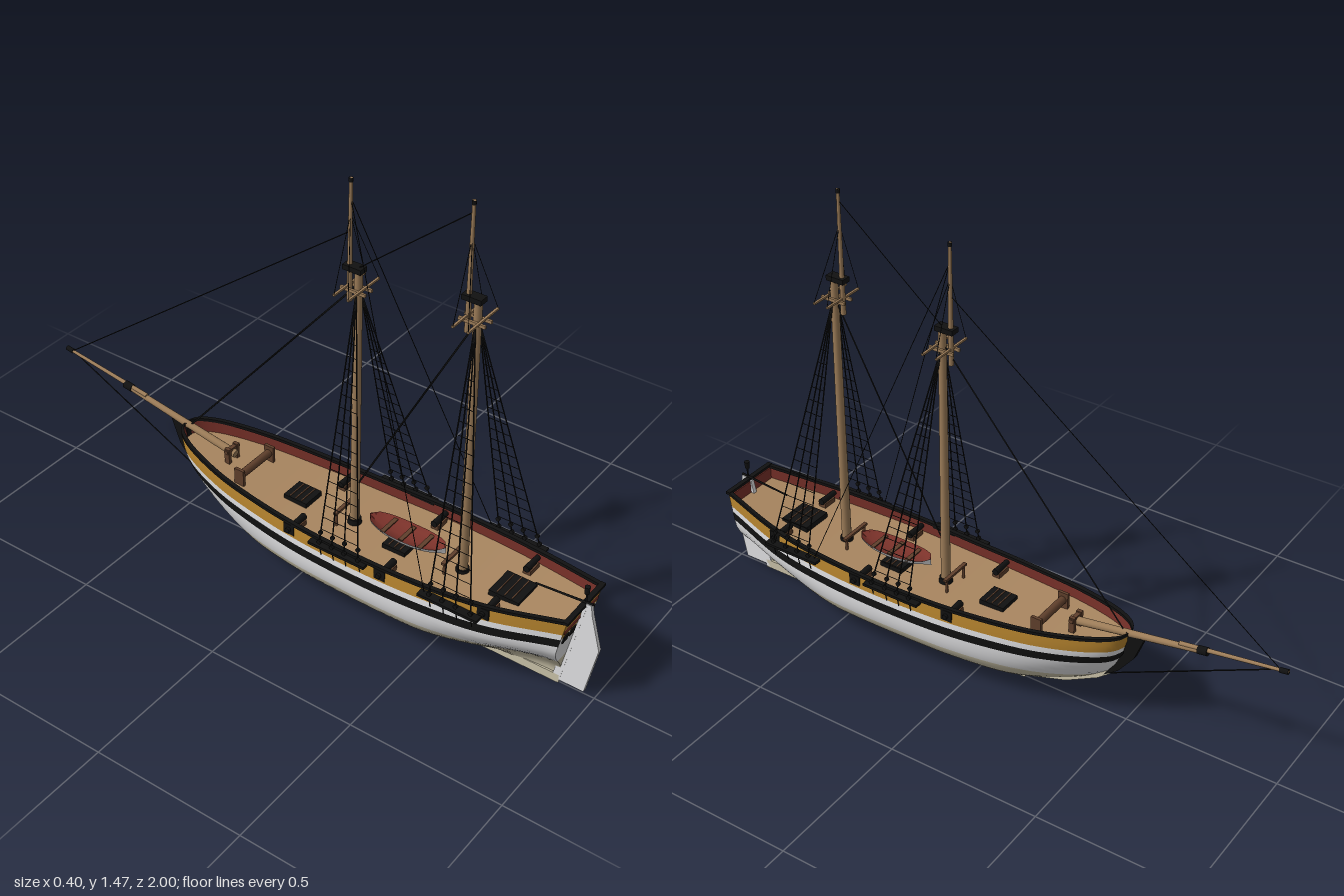
import * as THREE from 'three';
import { toCreasedNormals } from 'three/addons/utils/BufferGeometryUtils.js';

const mat = (name, color) => Object.assign(new THREE.MeshStandardMaterial({ color }), { name });
const white = mat('white paint', 0xe4e4e6), cream = mat('bottom paint', 0xcbc3a9), ochre = mat('ochre paint', 0xb9862f);
const black = mat('black paint', 0x111111), wood = mat('spar wood', 0x9c7c58), plank = mat('deck planks', 0xa98660);
const red = mat('red paint', 0x7b322a), brown = mat('dark wood', 0x60402c);
const V = (x, y, z) => new THREE.Vector3(x, y, z);
const step = THREE.MathUtils.smoothstep, lerp = THREE.MathUtils.lerp;

// Smooth curve through [position, value] pairs in rising order
function curve(p) {
  const slope = i => {
    const a = p[Math.max(i - 1, 0)], b = p[Math.min(i + 1, p.length - 1)];
    return (b[1] - a[1]) / (b[0] - a[0]);
  };
  return t => {
    t = Math.min(Math.max(t, p[0][0]), p[p.length - 1][0]);
    let i = 0;
    while (i < p.length - 2 && t > p[i + 1][0]) i++;
    const h = p[i + 1][0] - p[i][0], s = (t - p[i][0]) / h, s2 = s * s, s3 = s2 * s;
    return (2 * s3 - 3 * s2 + 1) * p[i][1] + (s3 - 2 * s2 + s) * h * slope(i)
      + (3 * s2 - 2 * s3) * p[i + 1][1] + (s3 - s2) * h * slope(i + 1);
  };
}

// Hull lines: sheer height, keel height, half beam, all along z
const sheer = curve([[-0.5, 0.325], [-0.2, 0.298], [0.1, 0.285], [0.4, 0.288], [0.7, 0.3], [0.94, 0.327]]);
const keelY = curve([[-0.5, 0.3], [-0.46, 0.19], [-0.4, 0.13], [-0.29, 0.066], [-0.145, 0.018], [0, 0.015], [0.94, 0.015]]);
const beam = curve([[-0.5, 0], [-0.49, 0.032], [-0.46, 0.062], [-0.4, 0.093], [-0.3, 0.125], [-0.2, 0.146],
  [0, 0.17], [0.2, 0.181], [0.4, 0.184], [0.6, 0.172], [0.75, 0.15], [0.94, 0.104]]);

function halfWidth(z, y) {
  const k = keelY(z), e = Math.min(Math.max((y - k) / (sheer(z) - k), 0), 1);
  const mid = 1 - (1 - e) ** 5, bow = 1 - (1 - e) ** 2.5, stern = step(e, 0.06, 0.65);
  const f = lerp(lerp(mid, bow, 1 - step(z, -0.5, 0.1)), stern, step(z, 0.45, 0.94));
  return Math.max(beam(z), 0) * f * (1 - 0.04 * e ** 4);
}
// Stern rakes aft with height
const hullPoint = (x, y, z) => V(x, y, z + 0.2 * (y - 0.327) * step(z, 0.6, 0.94));

const stations = [];
for (let i = 0; i <= 56; i++) stations.push(0.94 - 1.44 * Math.sin(i / 56 * Math.PI / 2));

// Skin between rings; mats[j] is the colour of strip j
function loft(name, rings, mats, closed = false) {
  const n = rings[0].length, strips = closed ? n : n - 1, index = [], g = new THREE.BufferGeometry();
  const list = [...new Set(mats)];
  for (let j = 0; j < strips; j++) {
    const start = index.length, j2 = (j + 1) % n;
    for (let i = 0; i < rings.length - 1; i++) {
      const a = i * n + j, b = i * n + j2, c = b + n, d = a + n;
      index.push(a, b, c, a, c, d);
    }
    g.addGroup(start, index.length - start, list.indexOf(mats[j % mats.length]));
  }
  g.setFromPoints(rings.flat());
  g.setIndex(index);
  const m = new THREE.Mesh(toCreasedNormals(g, 0.7), list);
  m.name = name;
  return m;
}

export function createModel() {
  const ship = new THREE.Group();
  ship.name = 'schooner';
  const add = (name, g, m, x = 0, y = 0, z = 0, parent = ship) => {
    const o = new THREE.Mesh(g, m);
    o.name = name;
    o.position.set(x, y, z);
    parent.add(o);
    return o;
  };
  const box = (name, w, h, d, m, x, y, z) => add(name, new THREE.BoxGeometry(w, h, d), m, x, y, z);
  const rod = (name, a, b, r1, r2, m, sides = 12) => {
    const o = add(name, new THREE.CylinderGeometry(r2, r1, a.distanceTo(b), sides), m);
    o.position.copy(a).lerp(b, 0.5);
    o.quaternion.setFromUnitVectors(V(0, 1, 0), b.clone().sub(a).normalize());
    return o;
  };
  const rope = (name, a, b, r = 0.0016) => rod(name, a, b, r, r, black, 4);
  // Side profile given as [z, y], extruded across x
  const slab = (name, pts, w, m) => {
    const s = new THREE.Shape(pts.map(p => new THREE.Vector2(...p)));
    const g = new THREE.ExtrudeGeometry(s, { depth: w, bevelEnabled: false });
    add(name, g.rotateY(-Math.PI / 2).translate(w / 2, 0, 0), m);
  };

  // Hull planking with painted bands
  const bands = [[1, ochre], [1, ochre], [1, white], [1, black], [4, white], [10, cream]];
  const side = z => {
    const s = sheer(z), k = keelY(z), levels = [s, s - 0.022, s - 0.047, s - 0.067, s - 0.096, 0.13, k], ys = [s];
    bands.forEach(([n], b) => {
      for (let q = 1; q <= n; q++) ys.push(Math.max(k, lerp(levels[b], levels[b + 1], q / n)));
    });
    return ys.map(y => hullPoint(halfWidth(z, y), y, z));
  };
  const mirrored = pts => pts.map(p => V(-p.x, p.y, p.z)).reverse();
  const half = bands.flatMap(([n, m]) => Array(n).fill(m));
  ship.add(loft('hull', stations.map(z => { const s = side(z); return [...s, ...mirrored(s).slice(1)]; }), [...half, ...half.slice().reverse()]));

  // Transom, windows and stern rail
  const last = side(0.94);
  ship.add(loft('transom', [mirrored(last).reverse(), last], half.map((m, i) => i < 3 ? ochre : m === cream ? cream : white)));
  for (const x of [-0.073, -0.034, 0.034, 0.073]) {
    const w = box('sternWindow', 0.026, 0.028, 0.006, black, x, 0.247, 0.925);
    w.rotation.x = 0.2;
  }
  box('sternBulwark', 0.19, 0.045, 0.006, red, 0, 0.3, 0.93);
  box('sternRail', 0.212, 0.009, 0.016, black, 0, 0.328, 0.938);

  // Deck with inner bulwarks
  ship.add(loft('deckAndBulwarks', stations.map(z => {
    const s = sheer(z), d = s - 0.045, w = Math.max(halfWidth(z, s) - 0.006, 0), wd = Math.max(halfWidth(z, d) - 0.006, 0);
    return [hullPoint(-w, s, z), hullPoint(-wd, d, z), hullPoint(wd, d, z), hullPoint(w, s, z)];
  }), [red, plank, red]));

  // Cap rail on both sides
  const railRing = z => {
    const s = sheer(z), w = halfWidth(z, s), o = w + 0.004, n = Math.max(w - 0.01, 0);
    return [[o, s + 0.005], [o, s - 0.005], [n, s - 0.005], [n, s + 0.005]].map(([x, y]) => hullPoint(x, y, z));
  };
  ship.add(loft('leftRail', stations.map(railRing), [black], true));
  ship.add(loft('rightRail', stations.map(z => mirrored(railRing(z))), [black], true));

  // Keel, stem, stern post, rudder and tiller
  slab('keel', [[0.885, 0], [-0.14, 0], [-0.15, 0.01], [-0.29, 0.056], [-0.4, 0.117], [-0.44, 0.15],
    [-0.42, 0.165], [-0.29, 0.08], [-0.145, 0.03], [0.885, 0.03]], 0.014, cream);
  slab('stem', [[-0.42, 0.14], [-0.47, 0.178], [-0.52, 0.245], [-0.55, 0.325], [-0.49, 0.33], [-0.485, 0.25], [-0.45, 0.185]], 0.02, black);
  slab('sternPost', [[0.86, 0.005], [0.885, 0.005], [0.95, 0.325], [0.925, 0.325]], 0.014, white);
  slab('rudder', [[0.882, 0.012], [0.967, 0.012], [1, 0.185], [0.968, 0.3], [0.962, 0.335], [0.946, 0.335]], 0.013, white);
  rod('tiller', V(0, 0.337, 0.965), V(0, 0.322, 0.78), 0.004, 0.003, black, 6);
  rod('lanternPost', V(0, 0.325, 0.942), V(0, 0.37, 0.942), 0.003, 0.003, black, 6);
  rod('lantern', V(0, 0.367, 0.942), V(0, 0.392, 0.942), 0.007, 0.009, black, 8);

  // Guns and ports
  for (const s of [-1, 1]) for (const z of [0.035, 0.37, 0.705]) {
    const y = sheer(z) - 0.022, w = halfWidth(z, y);
    box('gunPort', 0.006, 0.036, 0.038, black, s * w, y, z);
    box('gunCarriage', 0.05, 0.016, 0.026, brown, s * (w - 0.045), y - 0.014, z);
    rod('gunBarrel', V(s * (w - 0.075), y, z), V(s * (w + 0.012), y, z), 0.011, 0.008, black, 10);
  }

  // Hatches with gratings
  const hatch = (z, w, d) => {
    const y = sheer(z) - 0.04;
    box('hatch', w, 0.02, d, black, 0, y, z);
    for (let i = -1; i <= 1; i++) box('gratingBar', w * 0.9, 0.003, 0.003, brown, 0, y + 0.011, z + i * d / 4);
  };
  hatch(-0.04, 0.08, 0.085);
  hatch(0.33, 0.1, 0.08);
  hatch(0.71, 0.105, 0.1);

  // Windlass and bowsprit bitts
  rod('windlass', V(-0.07, 0.285, -0.225), V(0.07, 0.285, -0.225), 0.013, 0.013, brown, 10);
  for (const s of [-1, 1]) {
    box('windlassPost', 0.01, 0.06, 0.035, brown, s * 0.075, 0.28, -0.225);
    box('bitt', 0.012, 0.06, 0.018, brown, s * 0.02, 0.285, -0.315);
  }
  box('bittBar', 0.06, 0.012, 0.014, brown, 0, 0.305, -0.315);

  // Ship's boat
  const boat = [];
  for (let i = 0; i <= 14; i++) {
    const t = i / 14 * 2 - 1, w = 0.046 * Math.sqrt(Math.max(1 - Math.abs(t) ** 2.4, 0)), z = 0.345 - t * 0.135;
    const top = 0.292 + 0.008 * t * t, low = 0.258 + 0.02 * t * t;
    boat.push([V(w, top, z), V(w * 0.8, (top + low) / 2, z), V(0, low, z), V(-w * 0.8, (top + low) / 2, z), V(-w, top, z),
      V(-w * 0.75, low + 0.02, z), V(0, low + 0.012, z), V(w * 0.75, low + 0.02, z)]);
  }
  ship.add(loft('boat', boat, [white, white, white, white, red, red, red, red], true));
  for (const z of [0.28, 0.345, 0.41]) box('boatThwart', 0.075, 0.004, 0.014, brown, 0, 0.287, z);

  // Masts with tops, shrouds, ratlines and channels
  const mast = (z, capY, treeY, tipY) => {
    const tz = z - 0.03, baseY = 0.285, topY = treeY - 0.01;
    rod('lowerMast', V(0, 0.23, z), V(0, capY, z), 0.0155, 0.012, wood, 16);
    rod('topmast', V(0, treeY - 0.05, tz), V(0, tipY, tz), 0.0085, 0.005, wood);
    rod('topmastTip', V(0, tipY - 0.012, tz), V(0, tipY, tz), 0.0065, 0.0065, black, 8);
    box('mastCap', 0.032, 0.016, 0.062, black, 0, capY, z - 0.014);
    for (const s of [-1, 1]) {
      box('trestleTree', 0.007, 0.01, 0.085, wood, s * 0.016, treeY - 0.004, z - 0.007);
      box('crossTree', 0.15, 0.006, 0.007, wood, 0, treeY + 0.003, z - 0.007 + s * 0.024);
      box('channel', 0.028, 0.009, 0.2, black, s * 0.184, 0.277, z + 0.07);
      const feet = [0.005, 0.05, 0.095, 0.145].map(d => V(s * 0.188, baseY, z + d)), head = V(s * 0.01, topY, z);
      for (const f of feet) {
        rope('shroud', f, head, 0.0024);
        for (const t of [0.006, 0.045]) {
          const p = f.clone().lerp(head, t);
          rod('deadeye', V(p.x - 0.004, p.y, p.z), V(p.x + 0.004, p.y, p.z), 0.007, 0.007, black, 8);
        }
        rope('chainPlate', f, V(s * 0.178, 0.235, f.z), 0.002);
      }
      for (let t = 0.06; t < 0.82; t += 0.05) rope('ratline', feet[0].clone().lerp(head, t), feet[3].clone().lerp(head, t), 0.0014);
      for (const d of [-0.03, 0.018]) rope('topmastShroud', V(s * 0.074, treeY + 0.004, z + d), V(0, tipY - 0.11, tz), 0.0012);
      rod('pinRailPost', V(s * 0.045, 0.235, z - 0.035), V(s * 0.045, 0.29, z - 0.035), 0.005, 0.005, brown, 6);
    }
    box('pinRail', 0.11, 0.008, 0.012, brown, 0, 0.287, z - 0.035);
    rod('mastCollar', V(0, 0.24, z), V(0, 0.258, z), 0.022, 0.02, black, 16);
  };
  mast(0.155, 1.13, 1.068, 1.405);
  mast(0.54, 1.178, 1.115, 1.465);

  // Bowsprit and jibboom
  rod('bowsprit', V(0, 0.29, -0.3), V(0, 0.366, -0.745), 0.0135, 0.009, wood);
  rod('jibboom', V(0, 0.36, -0.66), V(0, 0.41, -0.998), 0.0075, 0.005, wood);
  rod('bowspritBand', V(0, 0.364, -0.72), V(0, 0.369, -0.75), 0.013, 0.013, black);
  rod('jibboomTip', V(0, 0.406, -0.972), V(0, 0.41, -0.998), 0.008, 0.008, black, 8);

  // Stays
  rope('foreTopmastStay', V(0, 1.24, 0.125), V(0, 0.41, -0.97));
  rope('foreStay', V(0, 1.07, 0.145), V(0, 0.33, -0.475), 0.0028);
  rope('mainTopmastStay', V(0, 1.43, 0.51), V(0, 1.13, 0.15));
  rope('mainStay', V(0, 1.09, 0.53), V(0, 0.39, 0.165), 0.0028);
  rope('bobstay', V(0, 0.408, -0.97), V(0, 0.15, -0.44), 0.0024);
  for (const s of [-1, 1]) rope('backstay', V(0, 1.345, 0.125), V(s * 0.182, 0.285, 0.525), 0.0012);
  return ship;
}
